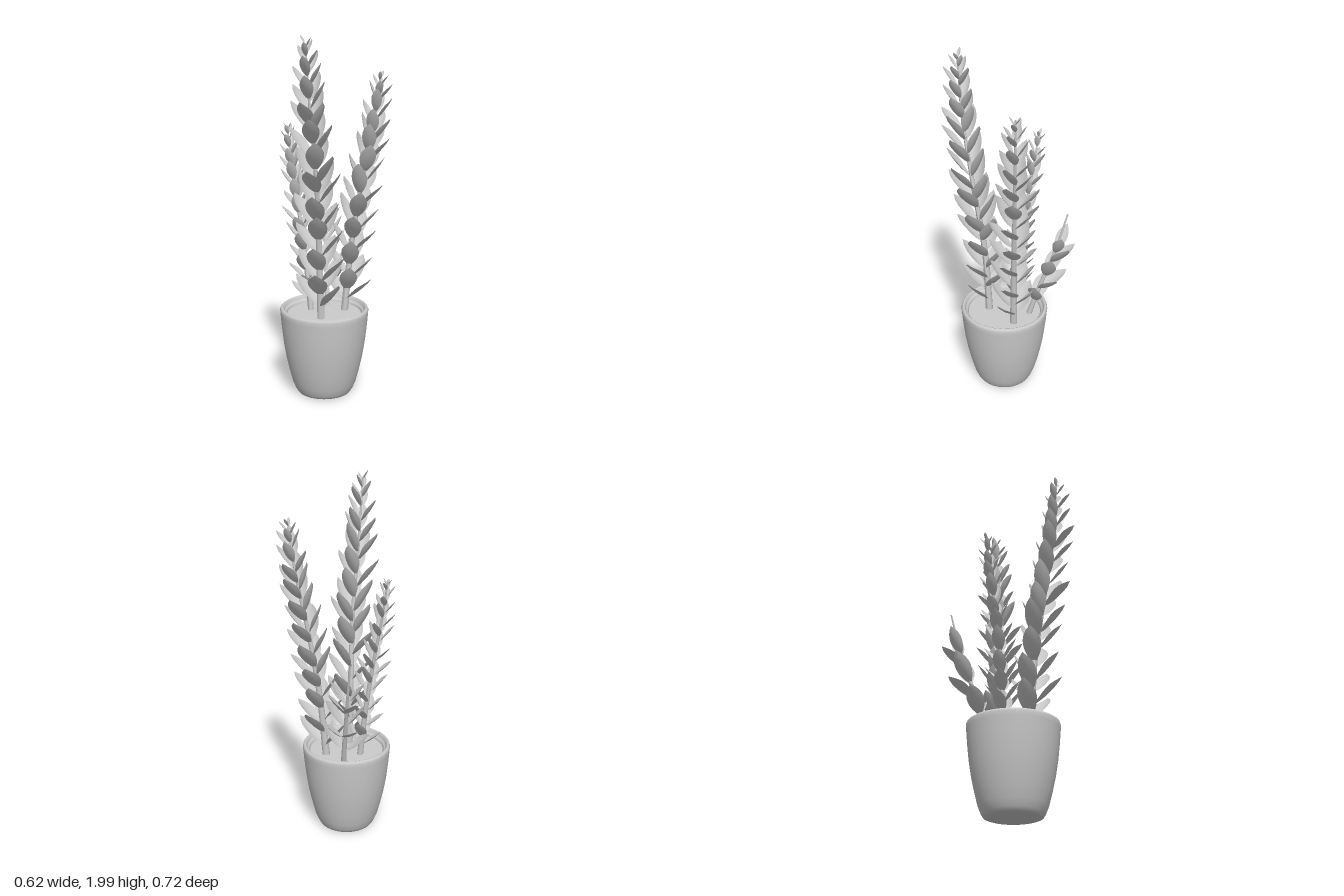
import * as THREE from 'three';

const material = new THREE.MeshStandardMaterial({ color: 0xcccccc, side: THREE.DoubleSide, roughness: 0.8 });
const UP = new THREE.Vector3(0, 1, 0);
const V = (x, y, z) => new THREE.Vector3(x, y, z);

function add(parent, name, geometry) {
  const mesh = new THREE.Mesh(geometry, material);
  mesh.name = name;
  parent.add(mesh);
  return mesh;
}

// Small seeded generator, returns -1..1
function seeded(seed) {
  let s = seed;
  return () => {
    s = (s * 16807) % 2147483647;
    return (s / 2147483647) * 2 - 1;
  };
}

// Unit leaf: grows along +y from the origin, upper face towards +z, slightly cupped
function leafGeometry() {
  const g = new THREE.PlaneGeometry(1, 1, 4, 8);
  const p = g.attributes.position;
  for (let i = 0; i < p.count; i++) {
    const t = p.getY(i) + 0.5;
    const side = p.getX(i) * 2;
    const width = 0.04 * (1 - t) + 0.96 * Math.pow(Math.sin(Math.PI * Math.pow(t, 1.1)), 0.8);
    const x = side * 0.5 * Math.max(width, 0);
    p.setXYZ(i, x, t, 0.3 * x * x - 0.22 * t * (1 - t));
  }
  g.computeVertexNormals();
  return g;
}

// Round stem that narrows towards its end
function stemGeometry(curve, r0, r1) {
  const rows = 24, sides = 8;
  const g = new THREE.TubeGeometry(curve, rows, 1, sides);
  const p = g.attributes.position;
  const v = new THREE.Vector3();
  for (let i = 0; i < p.count; i++) {
    const t = Math.floor(i / (sides + 1)) / rows;
    const c = curve.getPointAt(t);
    v.fromBufferAttribute(p, i).sub(c).multiplyScalar(r0 + (r1 - r0) * t).add(c);
    p.setXYZ(i, v.x, v.y, v.z);
  }
  g.computeVertexNormals();
  return g;
}

const leafShape = leafGeometry();

// Stem with leaf pairs; rows holds the two alternating pairs of compass angles (0 is front, 90 is +x)
function branch(o) {
  const group = new THREE.Group();
  group.name = o.name;
  const curve = new THREE.CatmullRomCurve3(o.path);
  add(group, 'stem', stemGeometry(curve, o.radius, 0.004));
  const rand = seeded(o.seed);
  for (let n = 0; n < o.pairs; n++) {
    const f = n / (o.pairs - 1);
    const t = o.start + (o.end - o.start) * (1 - Math.pow(1 - f, 1.15));
    const length = o.leaf * (1 - o.shrink * Math.pow(f, 4));
    const tilt = new THREE.Quaternion().setFromUnitVectors(UP, curve.getTangentAt(t));
    for (const degrees of o.rows[n % 2]) {
      const a = THREE.MathUtils.degToRad(degrees + rand() * 13);
      const rise = 0.85 + 0.15 * Math.min(1, f * 2) + rand() * 0.08;
      const radial = V(Math.sin(a), 0, Math.cos(a));
      const along = radial.clone().multiplyScalar(Math.cos(rise)).addScaledVector(UP, Math.sin(rise));
      const across = V(-Math.cos(a), 0, Math.sin(a));
      const facing = across.clone().cross(along);
      const leaf = add(group, 'leaf', leafShape);
      leaf.quaternion.setFromRotationMatrix(new THREE.Matrix4().makeBasis(across, along, facing)).premultiply(tilt);
      leaf.position.copy(curve.getPointAt(THREE.MathUtils.clamp(t + rand() * 0.012, 0, 1)));
      leaf.scale.set(length * (0.48 - 0.1 * f * f), length * (1 + rand() * 0.06), length);
    }
  }
  return group;
}

export function createModel() {
  const model = new THREE.Group();
  model.name = 'pottedPlant';

  // Pot with rounded base, rolled rim and stepped inner wall
  const outline = [
    [0, 0], [0.135, 0], [0.152, 0.006], [0.164, 0.025], [0.18, 0.065], [0.197, 0.13], [0.215, 0.21],
    [0.23, 0.3], [0.24, 0.39], [0.246, 0.46], [0.248, 0.483], [0.244, 0.495], [0.236, 0.5],
    [0.229, 0.497], [0.225, 0.486], [0.221, 0.476], [0.215, 0.474], [0.209, 0.468], [0.206, 0.45], [0.203, 0.42],
  ].map(([x, y]) => new THREE.Vector2(x, y));
  const pot = new THREE.Group();
  pot.name = 'pot';
  pot.position.set(-0.018, 0, -0.013);
  add(pot, 'potShell', new THREE.LatheGeometry(outline, 32));
  const soil = add(pot, 'soil', new THREE.CircleGeometry(0.207, 32));
  soil.rotation.x = -Math.PI / 2;
  soil.position.y = 0.46;
  model.add(pot);

  // Four branches
  model.add(branch({
    name: 'frontBranch', seed: 11, radius: 0.022, leaf: 0.225, shrink: 0.74, pairs: 23, start: 0.055, end: 0.985,
    rows: [[80, -105], [14, 160]],
    path: [V(0, 0.45, 0.075), V(0, 0.85, 0.1), V(0.01, 1.25, 0.16), V(0, 1.65, 0.222), V(-0.01, 1.95, 0.245)],
  }));
  model.add(branch({
    name: 'backLeftBranch', seed: 47, radius: 0.022, leaf: 0.21, shrink: 0.74, pairs: 22, start: 0.055, end: 0.985,
    rows: [[95, -92], [12, 178]],
    path: [V(0.065, 0.45, -0.11), V(0.1, 0.85, -0.125), V(0.15, 1.2, -0.15), V(0.205, 1.52, -0.175), V(0.235, 1.78, -0.19)],
  }));
  model.add(branch({
    name: 'rightBranch', seed: 83, radius: 0.018, leaf: 0.15, shrink: 0.7, pairs: 21, start: 0.06, end: 0.985,
    rows: [[95, -85], [10, 170]],
    path: [V(-0.11, 0.45, -0.04), V(-0.145, 0.75, -0.045), V(-0.195, 1.05, -0.06), V(-0.245, 1.3, -0.082), V(-0.275, 1.49, -0.098)],
  }));
  model.add(branch({
    name: 'backBranch', seed: 29, radius: 0.016, leaf: 0.19, shrink: 0.1, pairs: 5, start: 0.14, end: 0.64,
    rows: [[105, -80], [135, -125]],
    path: [V(-0.055, 0.45, -0.15), V(-0.085, 0.65, -0.205), V(-0.125, 0.88, -0.275), V(-0.16, 1.1, -0.325)],
  }));
  return model;
}
